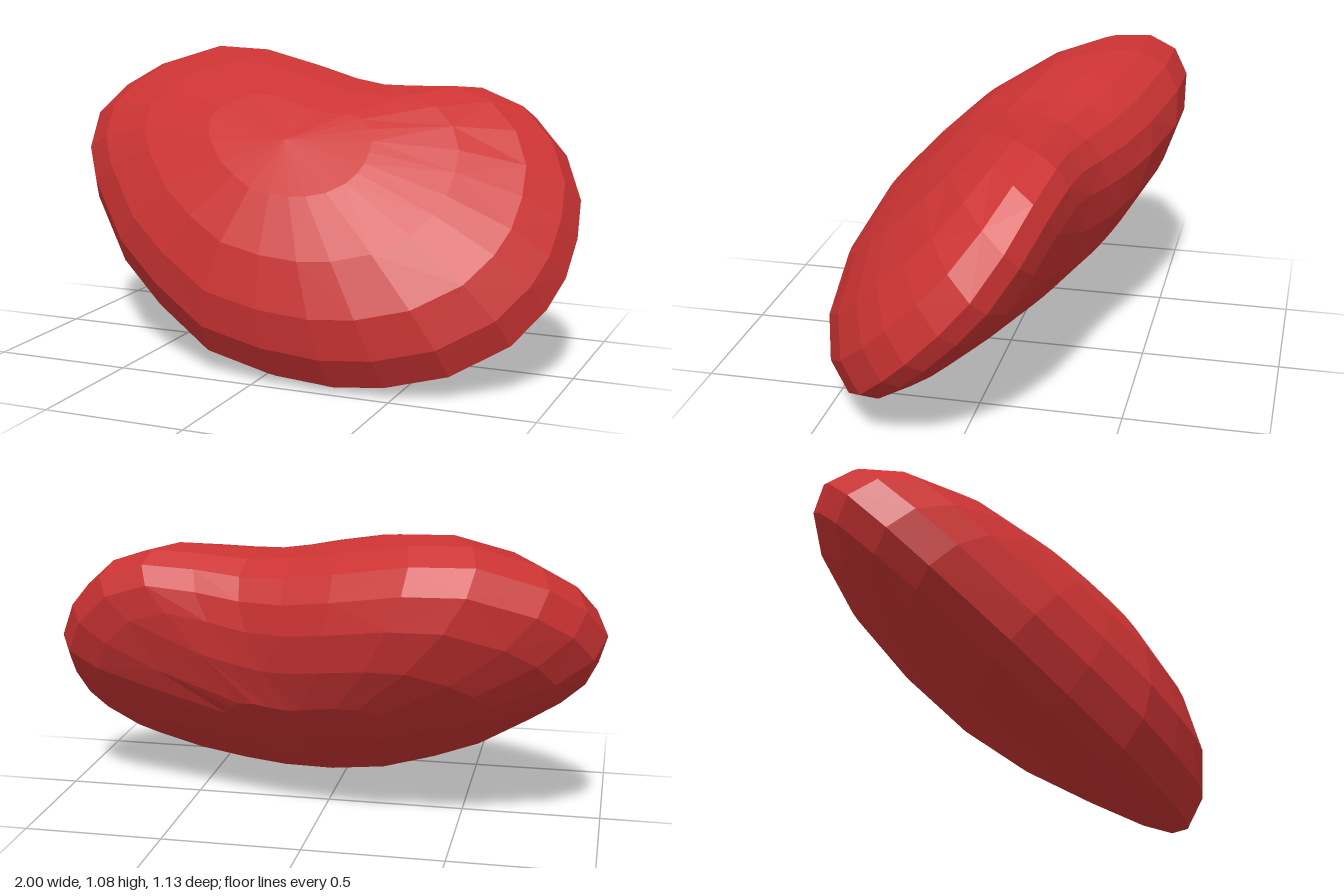
import * as THREE from 'three';

// Bean outline in its own plane (x, u), counter-clockwise
const OUTLINE = [
  [1, 0.35], [0.985, 0.5], [0.91, 0.66], [0.78, 0.79], [0.61, 0.86], [0.42, 0.86], [0.25, 0.87],
  [0.08, 0.92], [-0.1, 0.99], [-0.36, 1.07], [-0.58, 1.08], [-0.81, 0.97], [-0.93, 0.85], [-1, 0.7],
  [-0.97, 0.52], [-0.88, 0.36], [-0.66, 0.09], [-0.45, -0.08], [-0.2, -0.24], [0.05, -0.3],
  [0.28, -0.32], [0.47, -0.3], [0.68, -0.23], [0.86, -0.09], [0.95, 0.06], [0.99, 0.19],
];
const CENTRE = [0.02, 0.4];
const RIM = 0.37; // offset of the outline's plane along its normal

// Height of the skin above (side 1) or below (side -1) the outline's plane
function skin(x, u, s, side) {
  const round = Math.sqrt(1 - s * s);
  // The rim leans forward along the notch and the smaller lobe
  const lift = 0.105 * Math.exp(-(((x - 0.58) / 0.48) ** 2) - ((u - 0.82) / 0.28) ** 2);
  if (side > 0) return RIM + lift + (0.425 - 0.06 * u - lift) * round;
  const thinner = 0.06 * THREE.MathUtils.smoothstep(x, 0, 0.6);
  return RIM + lift - (0.265 + 0.08 * u - thinner) * round;
}

function beanGeometry() {
  const levels = [
    [0.32, 1], [0.62, 1], [0.84, 1], [0.96, 1], [1, 1],
    [0.96, -1], [0.84, -1], [0.62, -1], [0.32, -1],
  ];
  const n = OUTLINE.length;
  const pos = [];
  const index = [];

  // Tilt the bean's plane back by 45 degrees
  const add = (x, u, w) => pos.push(x, (u + w) * Math.SQRT1_2, (w - u) * Math.SQRT1_2);

  for (const [s, side] of levels) {
    for (const [px, pu] of OUTLINE) {
      const x = CENTRE[0] + (px - CENTRE[0]) * s;
      const u = CENTRE[1] + (pu - CENTRE[1]) * s;
      add(x, u, skin(x, u, s, side));
    }
  }
  const front = levels.length * n;
  add(...CENTRE, skin(...CENTRE, 0, 1));
  add(...CENTRE, skin(...CENTRE, 0, -1));

  // Skin between rings, with alternating diagonals for an irregular faceted look
  for (let r = 0; r < levels.length - 1; r++) {
    for (let i = 0; i < n; i++) {
      const j = (i + 1) % n;
      const a = r * n + i, b = r * n + j, c = a + n, d = b + n;
      if ((r + i) % 2) index.push(a, c, d, a, d, b);
      else index.push(a, c, b, b, c, d);
    }
  }
  // Middle of the front and back faces
  const last = (levels.length - 1) * n;
  for (let i = 0; i < n; i++) {
    const j = (i + 1) % n;
    index.push(front, i, j, front + 1, last + j, last + i);
  }

  const geometry = new THREE.BufferGeometry();
  geometry.setAttribute('position', new THREE.Float32BufferAttribute(pos, 3));
  geometry.setIndex(index);
  geometry.computeBoundingBox();
  const { min, max } = geometry.boundingBox;
  geometry.translate(-(min.x + max.x) / 2, -min.y, -(min.z + max.z) / 2);
  const faceted = geometry.toNonIndexed();
  faceted.computeVertexNormals();
  return faceted;
}

export function createModel() {
  const group = new THREE.Group();
  group.name = 'kidneyBean';
  const material = new THREE.MeshStandardMaterial({ color: 0xcc3333, flatShading: true });
  const bean = new THREE.Mesh(beanGeometry(), material);
  bean.name = 'bean';
  group.add(bean);
  return group;
}
